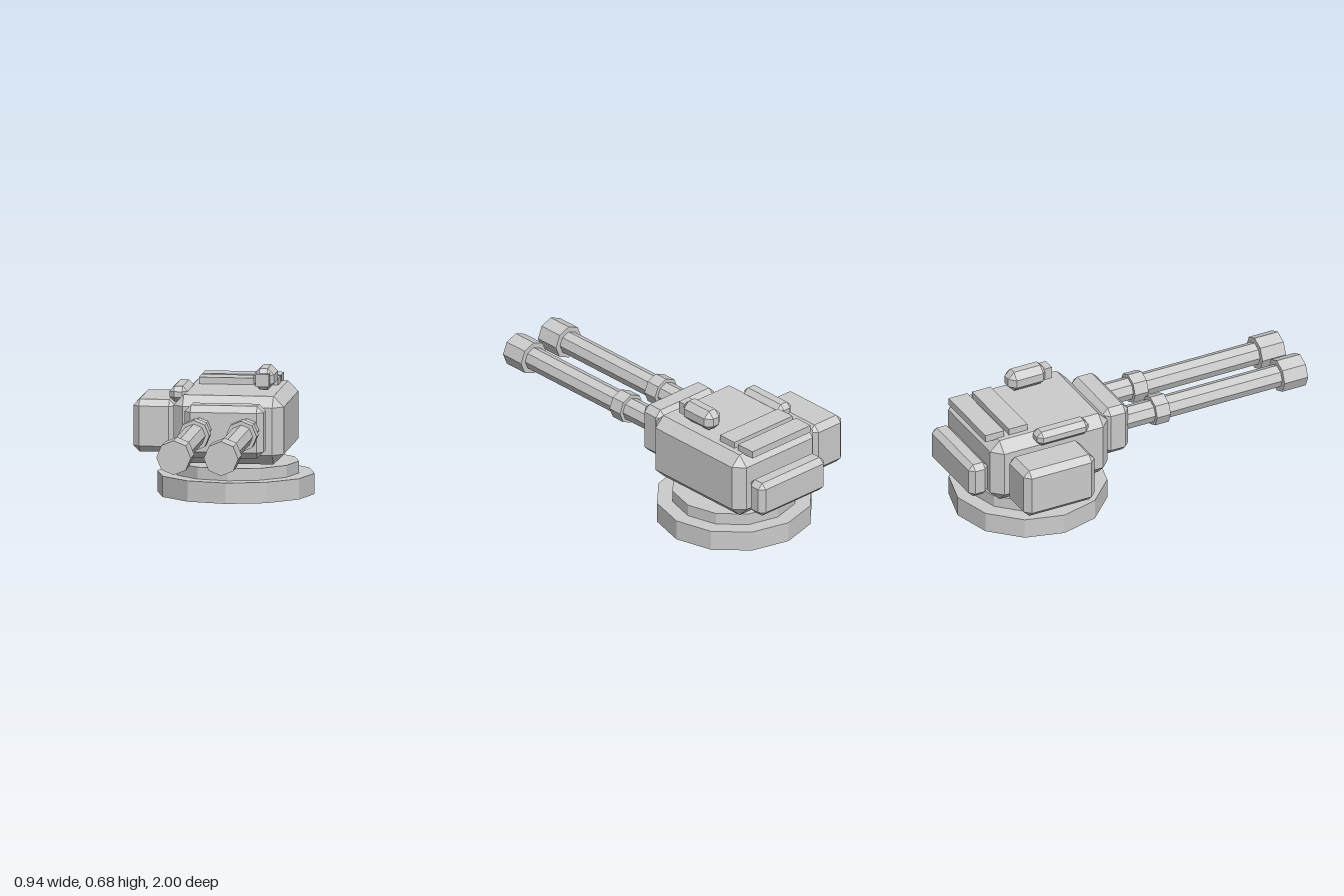
import * as THREE from 'three';
import { ConvexGeometry } from 'three/addons/geometries/ConvexGeometry.js';

const material = new THREE.MeshStandardMaterial({ color: 0xcccccc, flatShading: true });

function add(parent, name, geometry, x, y, z) {
  const mesh = new THREE.Mesh(geometry, material);
  mesh.name = name;
  mesh.position.set(x, y, z);
  parent.add(mesh);
  return mesh;
}

// Box with all edges and corners cut by a flat bevel: 3 points per corner
function chamferBox(w, h, d, bevel) {
  const points = [];
  for (const sx of [-1, 1]) for (const sy of [-1, 1]) for (const sz of [-1, 1]) {
    for (let axis = 0; axis < 3; axis++) {
      const inset = [0, 1, 2].map((i) => (i === axis ? 0 : bevel));
      points.push(new THREE.Vector3(
        sx * (w / 2 - inset[0]), sy * (h / 2 - inset[1]), sz * (d / 2 - inset[2])));
    }
  }
  return new ConvexGeometry(points);
}

// Places a box from its extents; a bevel of 0 gives a plain box
function addBox(parent, name, [x0, x1], [y0, y1], [z0, z1], bevel = 0) {
  const size = [x1 - x0, y1 - y0, z1 - z0];
  const geometry = bevel ? chamferBox(...size, bevel) : new THREE.BoxGeometry(...size);
  return add(parent, name, geometry, (x0 + x1) / 2, (y0 + y1) / 2, (z0 + z1) / 2);
}

// Twelve-sided disc of the base
function addDisc(parent, name, radius, y0, y1) {
  add(parent, name, new THREE.CylinderGeometry(radius, radius, y1 - y0, 12), 0.055, (y0 + y1) / 2, -0.54);
}

// Eight-sided tube lying along z
function addTube(parent, name, radius, z0, z1) {
  const geometry = new THREE.CylinderGeometry(radius, radius, z1 - z0, 8).rotateX(Math.PI / 2);
  add(parent, name, geometry, 0, 0, (z0 + z1) / 2);
}

export function createModel() {
  const model = new THREE.Group();
  model.name = 'gunTurret';

  // Base
  addDisc(model, 'basePlate', 0.415, 0.03, 0.14);
  addDisc(model, 'turretRing', 0.332, 0.14, 0.203);

  // Turret body with its front shield and side and rear boxes
  addBox(model, 'turretBody', [-0.237, 0.346], [0.225, 0.585], [-0.887, -0.194], 0.055);
  addBox(model, 'gunShield', [-0.155, 0.262], [0.28, 0.557], [-0.194, -0.041], 0.034);
  addBox(model, 'sideBox', [-0.473, -0.25], [0.253, 0.53], [-0.825, -0.407], 0.033);
  addBox(model, 'rearBox', [-0.18, 0.288], [0.267, 0.46], [-1, -0.887], 0.028);

  // Roof plates
  for (const z of [-0.707, -0.845]) {
    addBox(model, 'roofPlate', [-0.155, 0.262], [0.58, 0.62], [z - 0.055, z + 0.055]);
  }

  // Roof pods and sight
  addBox(model, 'smallPod', [-0.273, -0.177], [0.53, 0.612], [-0.645, -0.342], 0.026);
  addBox(model, 'sightPod', [0.167, 0.276], [0.598, 0.711], [-0.58, -0.357], 0.034);
  addBox(model, 'sightLens', [0.187, 0.256], [0.622, 0.688], [-0.38, -0.33]);

  // Twin guns
  for (const x of [-0.071, 0.179]) {
    const gun = new THREE.Group();
    gun.name = 'gun';
    gun.position.set(x, 0.434, 0);
    addTube(gun, 'barrel', 0.062, -0.1, 0.9);
    addTube(gun, 'barrelCollar', 0.082, 0.115, 0.195);
    addTube(gun, 'muzzle', 0.091, 0.862, 1);
    model.add(gun);
  }

  return model;
}
